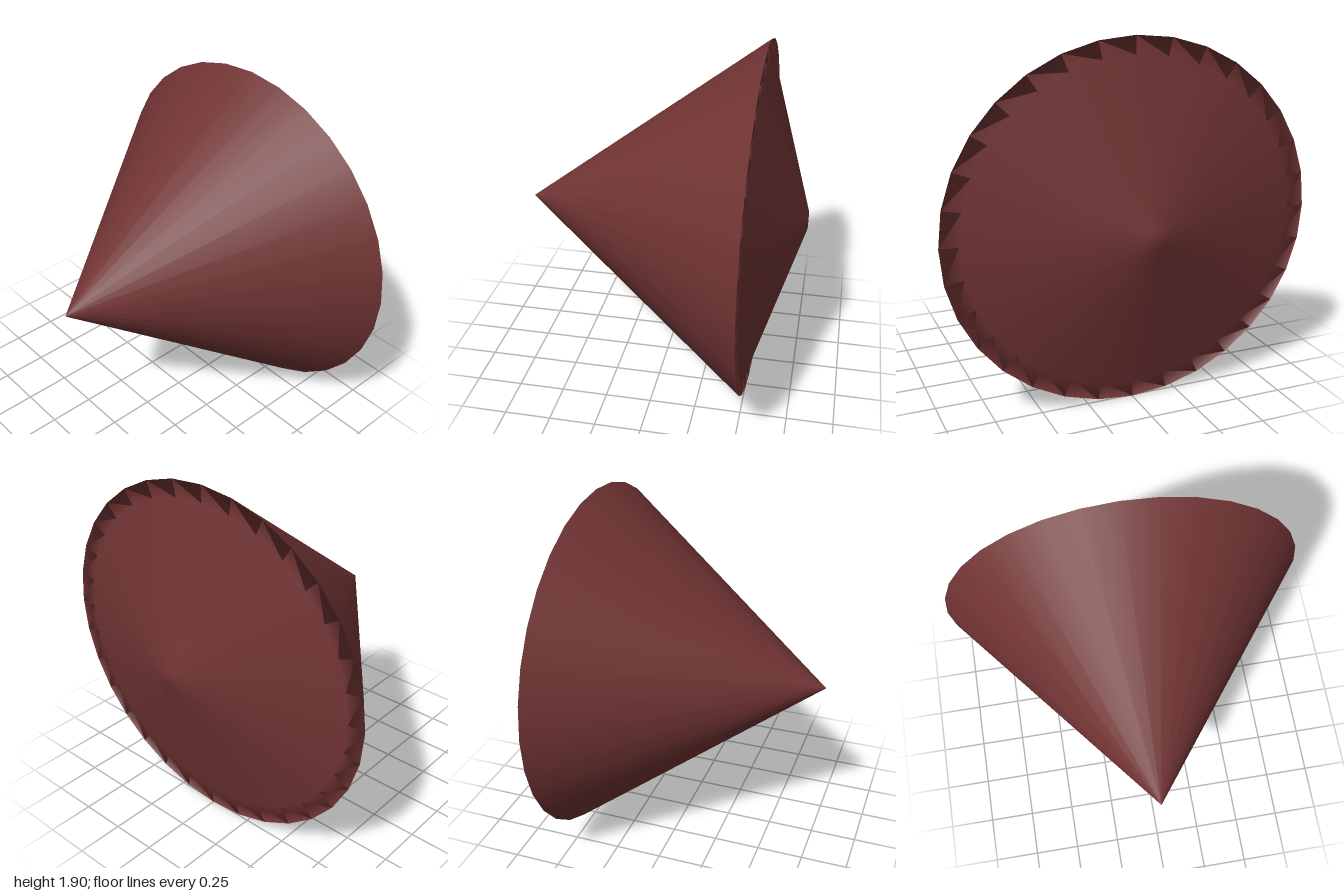
import * as THREE from 'three';

const SIDES = 32;

// Radius and position along the axis, from the pointed tip to the blunt nose
const PROFILE = [
  [0, -0.77], // sharp tip
  [1, 0.51], // outer rim
  [0.9, 0.51], // flat lip
  [0.05, 0.77], // shallow cone end
  [0, 0.77], // small flat nose
];

export function createModel() {
  const model = new THREE.Group();
  model.name = 'coneBody';

  const maroon = new THREE.MeshStandardMaterial({ color: 0x703333 });
  maroon.name = 'maroon';

  // Turned body, laid along x and slightly flattened in height
  const points = PROFILE.map(([r, a]) => new THREE.Vector2(r, a));
  const geometry = new THREE.LatheGeometry(points, SIDES);
  geometry.rotateZ(-Math.PI / 2);
  geometry.scale(1, 0.95, 1);
  geometry.translate(0, 0.95, 0);

  const body = new THREE.Mesh(geometry, maroon);
  body.name = 'pointedBody';
  model.add(body);
  return model;
}
